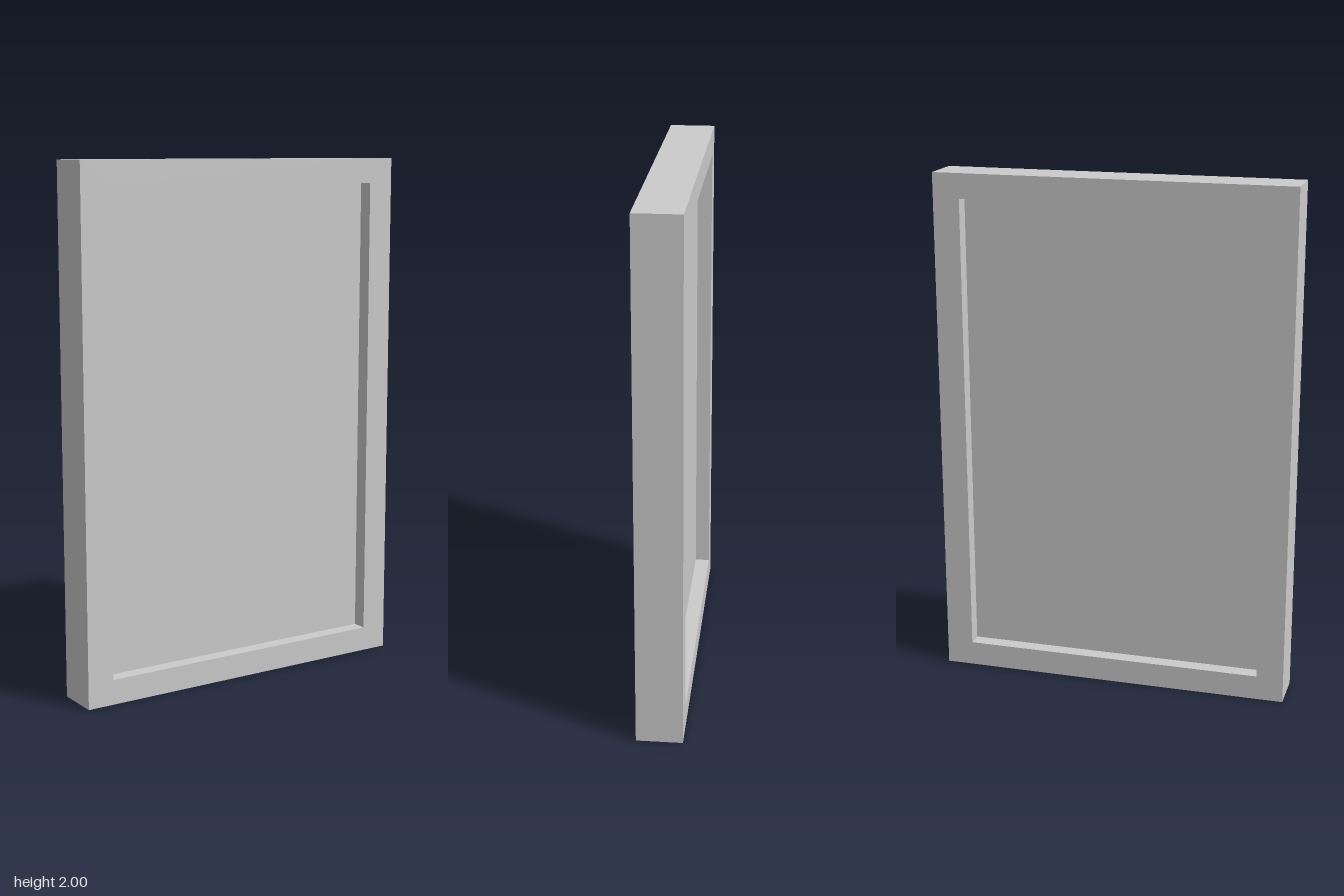
import * as THREE from 'three';

const WIDTH = 1.382, HEIGHT = 2, DEPTH = 0.175;
const SIDE = 0.104, RAIL = 0.096; // widths of the frame's uprights and rails
const PANEL_DEPTH = 0.06;

export function createModel() {
  const group = new THREE.Group();
  const material = new THREE.MeshStandardMaterial({ color: 0xcccccc });
  const innerX = WIDTH / 2 - SIDE;

  // Frame: a rectangle with a rectangular opening, extruded through its depth
  const outline = new THREE.Shape([
    new THREE.Vector2(-WIDTH / 2, 0), new THREE.Vector2(WIDTH / 2, 0),
    new THREE.Vector2(WIDTH / 2, HEIGHT), new THREE.Vector2(-WIDTH / 2, HEIGHT),
  ]);
  outline.holes.push(new THREE.Path([
    new THREE.Vector2(-innerX, RAIL), new THREE.Vector2(-innerX, HEIGHT - RAIL),
    new THREE.Vector2(innerX, HEIGHT - RAIL), new THREE.Vector2(innerX, RAIL),
  ]));
  const frameGeometry = new THREE.ExtrudeGeometry(outline, { depth: DEPTH, bevelEnabled: false });
  frameGeometry.translate(0, 0, -DEPTH / 2);
  const frame = new THREE.Mesh(frameGeometry, material);
  frame.name = 'frame';
  group.add(frame);

  // Panel: fills the opening, recessed equally on front and back
  const panel = new THREE.Mesh(
    new THREE.BoxGeometry(innerX * 2, HEIGHT - RAIL * 2, PANEL_DEPTH), material);
  panel.position.y = HEIGHT / 2;
  panel.name = 'panel';
  group.add(panel);

  return group;
}
